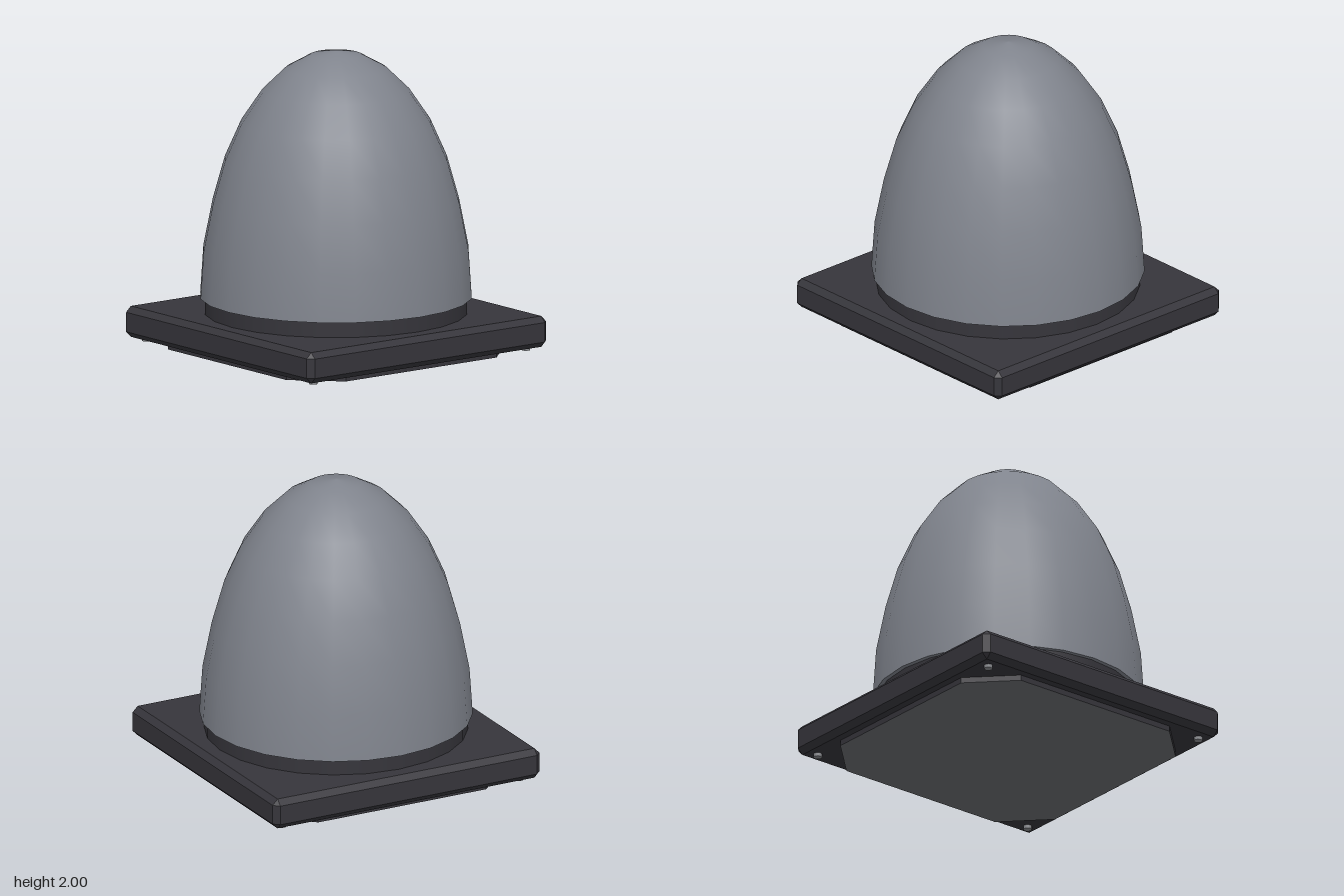
import * as THREE from 'three';
import { ConvexGeometry } from 'three/addons/geometries/ConvexGeometry.js';

const material = (name, color) => {
  const m = new THREE.MeshStandardMaterial({ color });
  m.name = name;
  return m;
};

// Box with a flat chamfer along every edge
function chamferedBox(w, h, d, c) {
  const points = [];
  for (const x of [-w / 2, w / 2]) for (const y of [-h / 2, h / 2]) for (const z of [-d / 2, d / 2]) {
    const sx = Math.sign(x) * c, sy = Math.sign(y) * c, sz = Math.sign(z) * c;
    points.push(
      new THREE.Vector3(x, y - sy, z - sz),
      new THREE.Vector3(x - sx, y, z - sz),
      new THREE.Vector3(x - sx, y - sy, z));
  }
  return new ConvexGeometry(points);
}

export function createModel() {
  const group = new THREE.Group();
  const shell = material('grey shell', 0x80848d);
  const plastic = material('dark plastic', 0x36353b);
  const soleGrey = material('sole grey', 0x6a6c70);
  const metal = material('screw metal', 0x8a8c90);

  const add = (name, geometry, mat, x = 0, y = 0, z = 0) => {
    const mesh = new THREE.Mesh(geometry, mat);
    mesh.name = name;
    mesh.position.set(x, y, z);
    group.add(mesh);
    return mesh;
  };

  // Square base and round neck
  add('base', chamferedBox(2, 0.207, 2, 0.038), plastic, 0, 0.1415, 0);
  add('neck', new THREE.CylinderGeometry(0.87, 0.87, 0.12, 24), plastic, 0, 0.295, 0);

  // Egg-shaped dome with a closed rim underneath
  const profile = [
    [0.9, 0.35], [0.879, 0.67], [0.817, 0.985], [0.736, 1.273], [0.626, 1.522],
    [0.487, 1.728], [0.334, 1.877], [0.169, 1.969], [0, 2],
  ].map(([r, y]) => new THREE.Vector2(r, y));
  add('dome', new THREE.LatheGeometry(profile, 24), shell);
  add('domeRim', new THREE.RingGeometry(0.86, 0.9, 24), shell, 0, 0.35, 0).rotation.x = Math.PI / 2;

  // Foot pad with cut corners
  const a = 0.91, b = 0.63;
  const outline = new THREE.Shape(
    [[a, -b], [a, b], [b, a], [-b, a], [-a, b], [-a, -b], [-b, -a], [b, -a]]
      .map(([x, y]) => new THREE.Vector2(x, y)));
  const pad = new THREE.ExtrudeGeometry(outline, { depth: 0.04, bevelEnabled: false });
  pad.rotateX(-Math.PI / 2);
  add('footPad', pad, [soleGrey, plastic]);

  // Corner screws
  for (const x of [-0.89, 0.89]) for (const z of [-0.89, 0.89]) {
    add('screw', new THREE.CylinderGeometry(0.028, 0.028, 0.03, 12), metal, x, 0.029, z);
  }
  return group;
}
